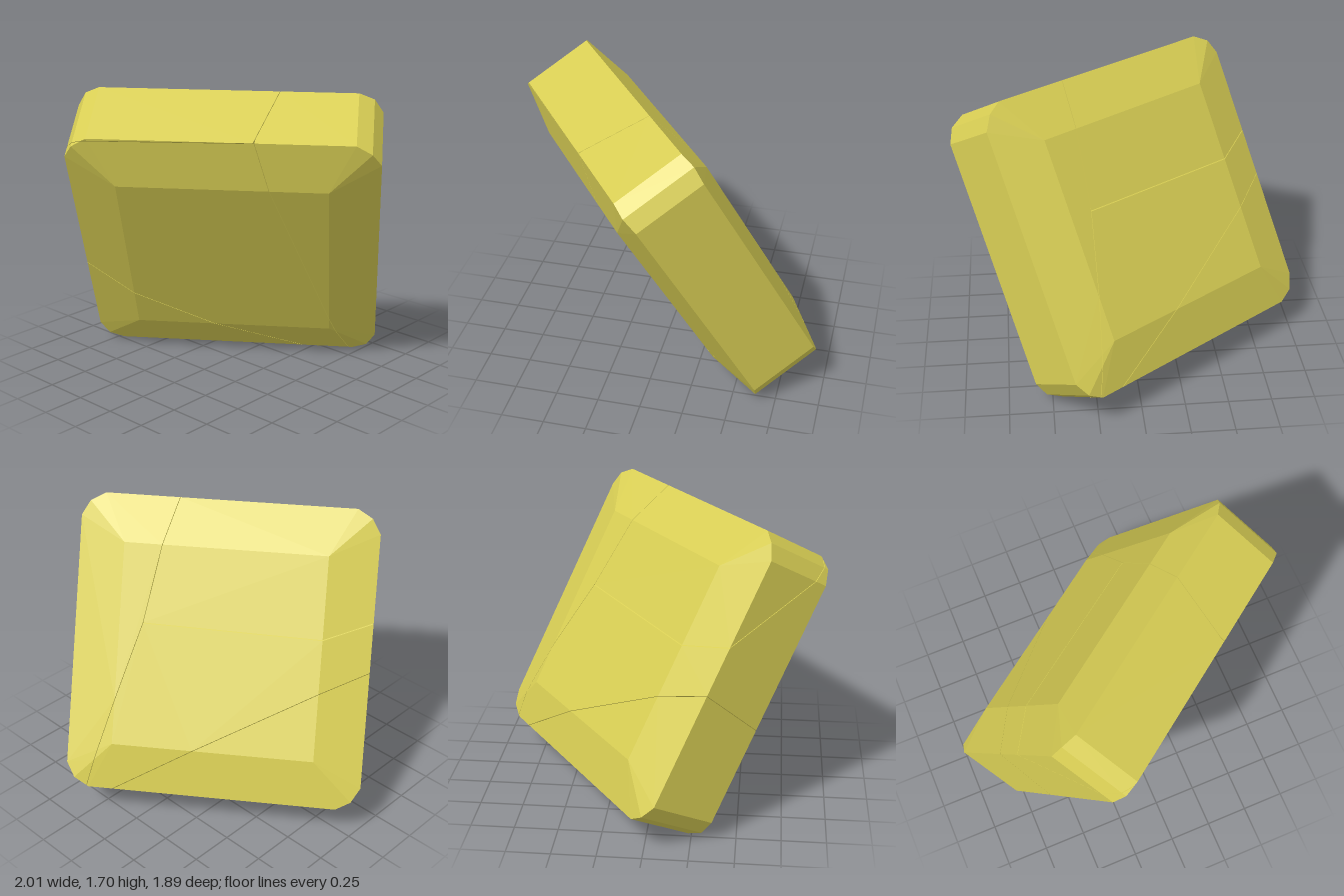
import * as THREE from 'three';
import { ConvexGeometry } from 'three/addons/geometries/ConvexGeometry.js';

const GAP = 0.0015; // half the width of a crack

// Corner points of the bevelled slab: width along x, height along y, thickness along z
function slabPoints() {
  const corner = [
    [0.58, 0.58, 0.29],
    [0.805, 0.805, 0.22],
    [0.72, 0.855, 0.21],
    [0.855, 0.72, 0.21],
  ];
  const points = [];
  for (const sx of [-1, 1]) for (const sy of [-1, 1]) for (const sz of [-1, 1])
    for (const [x, y, z] of corner) points.push(new THREE.Vector3(sx * x, sy * y, sz * z));
  return points;
}

// Keep the part of a convex point set on the positive side of a plane
function clip(points, plane) {
  const pos = new ConvexGeometry(points).attributes.position;
  const kept = new Map();
  const add = (p) => kept.set(p.toArray().map((c) => Math.round(c * 1e5)).join(), p);
  for (let i = 0; i < pos.count; i++) {
    const next = i % 3 === 2 ? i - 2 : i + 1;
    const a = new THREE.Vector3().fromBufferAttribute(pos, i);
    const b = new THREE.Vector3().fromBufferAttribute(pos, next);
    const da = plane.distanceToPoint(a), db = plane.distanceToPoint(b);
    if (da >= 0) add(a);
    if (da * db < 0) {
      // interpolate from a fixed end so shared edges give the same point
      add(da < 0 ? a.lerp(b, da / (da - db)) : b.clone().lerp(a, db / (db - da)));
    }
  }
  return [...kept.values()];
}

// Crack plane; side is +1 or -1, moved inwards by the gap
function crack(nx, ny, nz, constant, side) {
  const plane = new THREE.Plane(new THREE.Vector3(nx, ny, nz), constant).normalize();
  if (side < 0) plane.negate();
  plane.constant -= GAP;
  return plane;
}

export function createModel() {
  const stone = new THREE.MeshStandardMaterial({ color: 0xd8ce54, flatShading: true });
  stone.name = 'yellow stone';

  // The four crack surfaces
  const sideTop = (s) => crack(1, 0.183, 0.267, -0.39, s);
  const sideMiddle = (s) => crack(1, 0.3, 0.085, -0.458, s);
  const topMiddle = (s) => crack(-0.02, 1, -1.46, -0.544, s);
  const middleBottom = (s) => crack(0.555, 1, 0.214, 0.58, s);

  const pieces = {
    sideShard: [sideTop(1), sideMiddle(1)],
    topShard: [sideTop(-1), topMiddle(1)],
    middleShard: [sideMiddle(-1), topMiddle(-1), middleBottom(1)],
    bottomShard: [middleBottom(-1)],
  };

  const slab = new THREE.Group();
  slab.name = 'crackedSlab';
  for (const [name, planes] of Object.entries(pieces)) {
    const mesh = new THREE.Mesh(new ConvexGeometry(planes.reduce(clip, slabPoints())), stone);
    mesh.name = name;
    slab.add(mesh);
  }

  // Lean the slab forwards and turn it
  const across = new THREE.Vector3(0.81, 0, -0.586).normalize();
  const face = across.clone().cross(new THREE.Vector3(0.28, 0.87, 0.4)).normalize();
  const up = face.clone().cross(across);
  slab.quaternion.setFromRotationMatrix(new THREE.Matrix4().makeBasis(across, up, face));
  slab.position.y = 0.85;

  const model = new THREE.Group();
  model.name = 'leaningBlock';
  model.add(slab);
  return model;
}
